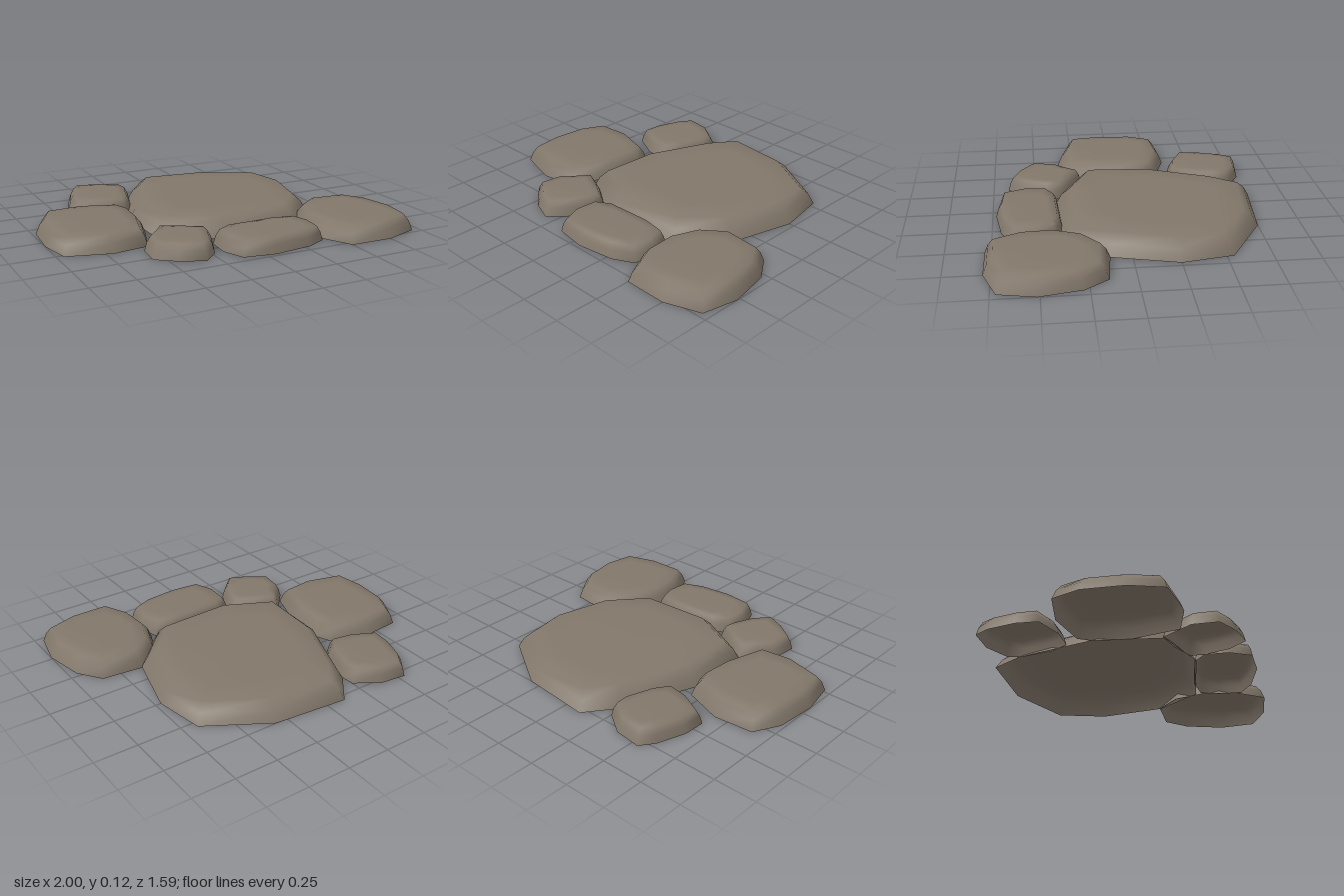
import * as THREE from 'three';

// Each stone: ground outline [x, z], height, rim inset and slope of the top along z
const STONES = [
  { name: 'mainSlab', h: 0.112, inset: 0.09, tilt: 0.015, outline: [
    [-0.11, -0.79], [0.32, -0.75], [0.67, -0.54], [0.72, -0.25], [0.62, 0.13],
    [0.4, 0.36], [-0.09, 0.38], [-0.4, 0.22], [-0.41, -0.18], [-0.24, -0.62]] },
  { name: 'leftSideStone', h: 0.098, inset: 0.055, tilt: 0, outline: [
    [0.62, 0.12], [0.86, 0.145], [0.955, 0.28], [1, 0.515], [0.955, 0.72],
    [0.75, 0.79], [0.5, 0.785], [0.41, 0.615], [0.395, 0.41], [0.47, 0.23]] },
  { name: 'rightSideStone', h: 0.098, inset: 0.055, tilt: 0, outline: [
    [-0.9, -0.32], [-0.67, -0.34], [-0.44, -0.26], [-0.4, -0.16], [-0.41, 0.05],
    [-0.5, 0.31], [-0.71, 0.34], [-0.96, 0.27], [-1, 0.07], [-0.98, -0.17]] },
  { name: 'backSmallStone', h: 0.087, inset: 0.035, tilt: 0, outline: [
    [-0.54, -0.8], [-0.38, -0.78], [-0.25, -0.69], [-0.24, -0.6], [-0.3, -0.42],
    [-0.37, -0.33], [-0.51, -0.35], [-0.66, -0.43], [-0.655, -0.56], [-0.6, -0.72]] },
  { name: 'frontSmallStone', h: 0.089, inset: 0.035, tilt: 0, outline: [
    [-0.41, 0.21], [-0.29, 0.26], [-0.16, 0.35], [-0.17, 0.43], [-0.23, 0.57],
    [-0.32, 0.66], [-0.45, 0.61], [-0.565, 0.52], [-0.55, 0.37], [-0.48, 0.29]] },
  { name: 'frontMiddleStone', h: 0.087, inset: 0.035, tilt: 0, outline: [
    [-0.08, 0.37], [0.24, 0.355], [0.38, 0.39], [0.415, 0.5], [0.4, 0.64],
    [0.28, 0.7], [0.055, 0.73], [-0.13, 0.7], [-0.18, 0.57], [-0.17, 0.43]] },
];

// Open-bottomed shell: rings from the ground edge up to the rim, closed by a gentle dome
function stoneGeometry({ outline, h, inset, tilt }) {
  const n = outline.length;
  const cx = outline.reduce((s, p) => s + p[0], 0) / n;
  const cz = outline.reduce((s, p) => s + p[1], 0) / n;
  const positions = [];
  const index = [];

  // Move a fraction of the inset inwards, then scale about the centre
  const addRing = (level, insetPart, scale) => {
    for (const [x, z] of outline) {
      const dx = x - cx, dz = z - cz;
      const k = (1 - (inset * insetPart) / Math.hypot(dx, dz)) * scale;
      positions.push(cx + dx * k, level * (h + tilt * dz * k), cz + dz * k);
    }
  };
  addRing(0, 0, 1);
  addRing(0.55, 0.4, 1);
  addRing(0.95, 1, 1);
  addRing(0.99, 1, 0.7);
  positions.push(cx, h, cz);

  for (let r = 0; r < 3; r++) {
    for (let i = 0; i < n; i++) {
      const j = (i + 1) % n;
      const a = r * n + i, b = r * n + j, c = a + n, d = b + n;
      index.push(a, c, b, b, c, d);
    }
  }
  for (let i = 0; i < n; i++) index.push(3 * n + i, 4 * n, 3 * n + ((i + 1) % n));

  const geometry = new THREE.BufferGeometry();
  geometry.setAttribute('position', new THREE.Float32BufferAttribute(positions, 3));
  geometry.setIndex(index);
  geometry.computeVertexNormals();
  return geometry;
}

export function createModel() {
  const group = new THREE.Group();
  group.name = 'flagstones';
  const stone = new THREE.MeshStandardMaterial({ color: 0x82776a, side: THREE.DoubleSide });
  stone.name = 'warm grey stone';
  for (const spec of STONES) {
    const mesh = new THREE.Mesh(stoneGeometry(spec), stone);
    mesh.name = spec.name;
    group.add(mesh);
  }
  return group;
}
